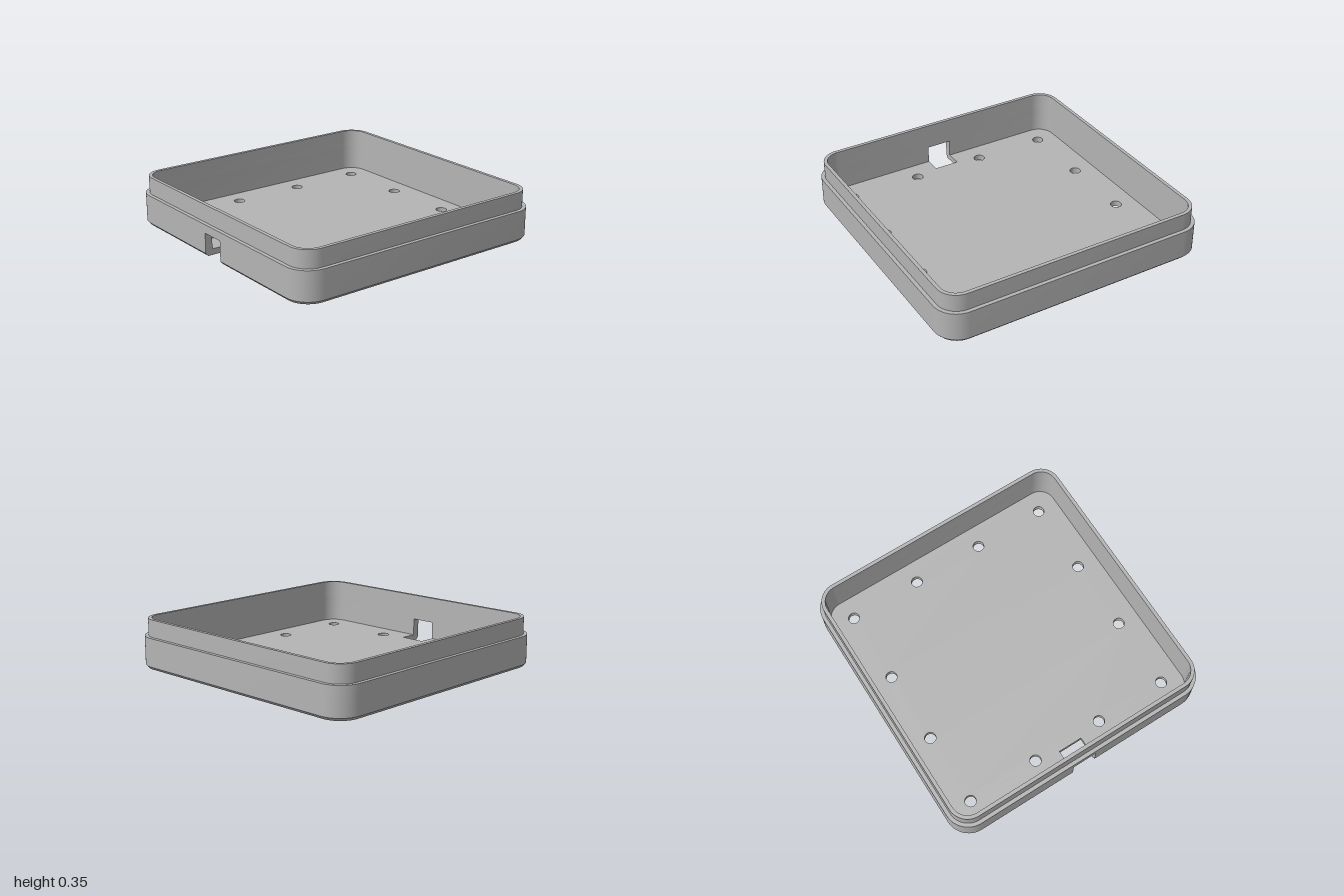
import * as THREE from 'three';
import { mergeGeometries, toCreasedNormals } from 'three/addons/utils/BufferGeometryUtils.js';

const CORE = 0.83;        // centre of the rounded corners, also the inner end of the slot
const SLOT = 0.09;        // half width of the slot
const SLOT_TOP = 0.167, FLOOR = 0.043, CHAMFER = 0.022, STEP = 0.228, TOP = 0.353;
const OUT = 1, LIP = 0.973, IN = 0.947, FOOT = 0.98;
const HOLE = 0.04;

// Rounded square as [x, z], starting and ending at the two sides of the slot
function ring(half) {
  const pts = [[SLOT, half]], r = half - CORE, n = 12;
  [[1, 1], [1, -1], [-1, -1], [-1, 1]].forEach(([sx, sz], k) => {
    for (let i = 0; i <= n; i++) {
      const a = (k + i / n) * Math.PI / 2;
      pts.push([sx * CORE + r * Math.sin(a), sz * CORE + r * Math.cos(a)]);
    }
  });
  pts.push([-SLOT, half]);
  return pts;
}

// Wall surface through a profile of [half size, height]
function loft(profile, closed) {
  const pos = [], idx = [];
  const rows = profile.map(([half, y]) => {
    const pts = ring(half);
    if (closed) pts.push(pts[0]);
    return pts.map(([x, z]) => [x, y, z]);
  });
  const n = rows[0].length;
  rows.forEach((row) => row.forEach((p) => pos.push(...p)));
  for (let j = 0; j < rows.length - 1; j++) {
    for (let i = 0; i < n - 1; i++) {
      const a = j * n + i, b = a + 1, c = a + n, d = c + 1;
      idx.push(a, b, d, a, d, c);
    }
  }
  const g = new THREE.BufferGeometry();
  g.setAttribute('position', new THREE.Float32BufferAttribute(pos, 3));
  g.setIndex(idx);
  return g;
}

// Screw hole centres around the edge of the floor
const holes = [];
const steps = [-0.795, -0.265, 0.265, 0.795];
for (const x of steps) {
  for (const z of steps) {
    if (Math.max(Math.abs(x), Math.abs(z)) > 0.5) holes.push([x, z]);
  }
}

// Floor face with slot and holes, facing up or down
function floorFace(half, y, up) {
  const s = up ? -1 : 1;
  const pts = [...ring(half), [-SLOT, CORE], [SLOT, CORE]];
  const shape = new THREE.Shape(pts.map(([x, z]) => new THREE.Vector2(x, s * z)));
  for (const [x, z] of holes) {
    shape.holes.push(new THREE.Path().absarc(x, s * z, HOLE, 0, Math.PI * 2));
  }
  return new THREE.ShapeGeometry(shape, 12).rotateX(s * Math.PI / 2).translate(0, y, 0);
}

// Inward-facing wall of one hole
function holeWall([x, z]) {
  return new THREE.CylinderGeometry(HOLE, HOLE, FLOOR, 24, 1, true)
    .scale(-1, 1, 1).translate(x, FLOOR / 2, z);
}

// Side of the slot: the cut section of wall and floor
function jamb(side) {
  const section = [[CORE, 0], [FOOT, 0], [OUT, CHAMFER], [OUT, SLOT_TOP],
    [IN, SLOT_TOP], [IN, FLOOR], [CORE, FLOOR]];
  const shape = new THREE.Shape(section.map(([z, y]) => new THREE.Vector2(side * z, y)));
  return new THREE.ShapeGeometry(shape).rotateY(-side * Math.PI / 2).translate(side * SLOT, 0, 0);
}

export function createModel() {
  const group = new THREE.Group();
  const grey = new THREE.MeshStandardMaterial({ color: 0xb4b4b4 });
  grey.name = 'grey plastic';

  const add = (name, parts) => {
    const clean = parts.map((p) => {
      const g = p.index ? p.toNonIndexed() : p;
      g.deleteAttribute('uv');
      g.deleteAttribute('normal');
      return g;
    });
    const mesh = new THREE.Mesh(toCreasedNormals(mergeGeometries(clean), 0.6), grey);
    mesh.name = name;
    group.add(mesh);
  };

  // Chamfered lower wall, interrupted by the slot up to its top, then the ledge
  add('lowerWall', [
    loft([[FOOT, 0], [OUT, CHAMFER], [OUT, SLOT_TOP]], false),
    loft([[OUT, SLOT_TOP], [OUT, STEP], [LIP, STEP]], true),
    loft([[IN, STEP], [IN, SLOT_TOP]], true),
    loft([[IN, SLOT_TOP], [IN, FLOOR]], false),
  ]);

  // Thin raised lip
  add('lip', [loft([[LIP, STEP], [LIP, TOP], [IN, TOP], [IN, STEP]], true)]);

  // Floor with twelve round holes
  add('floor', [floorFace(IN, FLOOR, true), floorFace(FOOT, 0, false), ...holes.map(holeWall)]);

  // Slot faces: two sides, floor edge and ceiling
  add('cableSlot', [
    jamb(1), jamb(-1),
    new THREE.PlaneGeometry(2 * SLOT, FLOOR).translate(0, FLOOR / 2, CORE),
    new THREE.PlaneGeometry(2 * SLOT, OUT - IN).rotateX(Math.PI / 2)
      .translate(0, SLOT_TOP, (OUT + IN) / 2),
  ]);

  return group;
}
